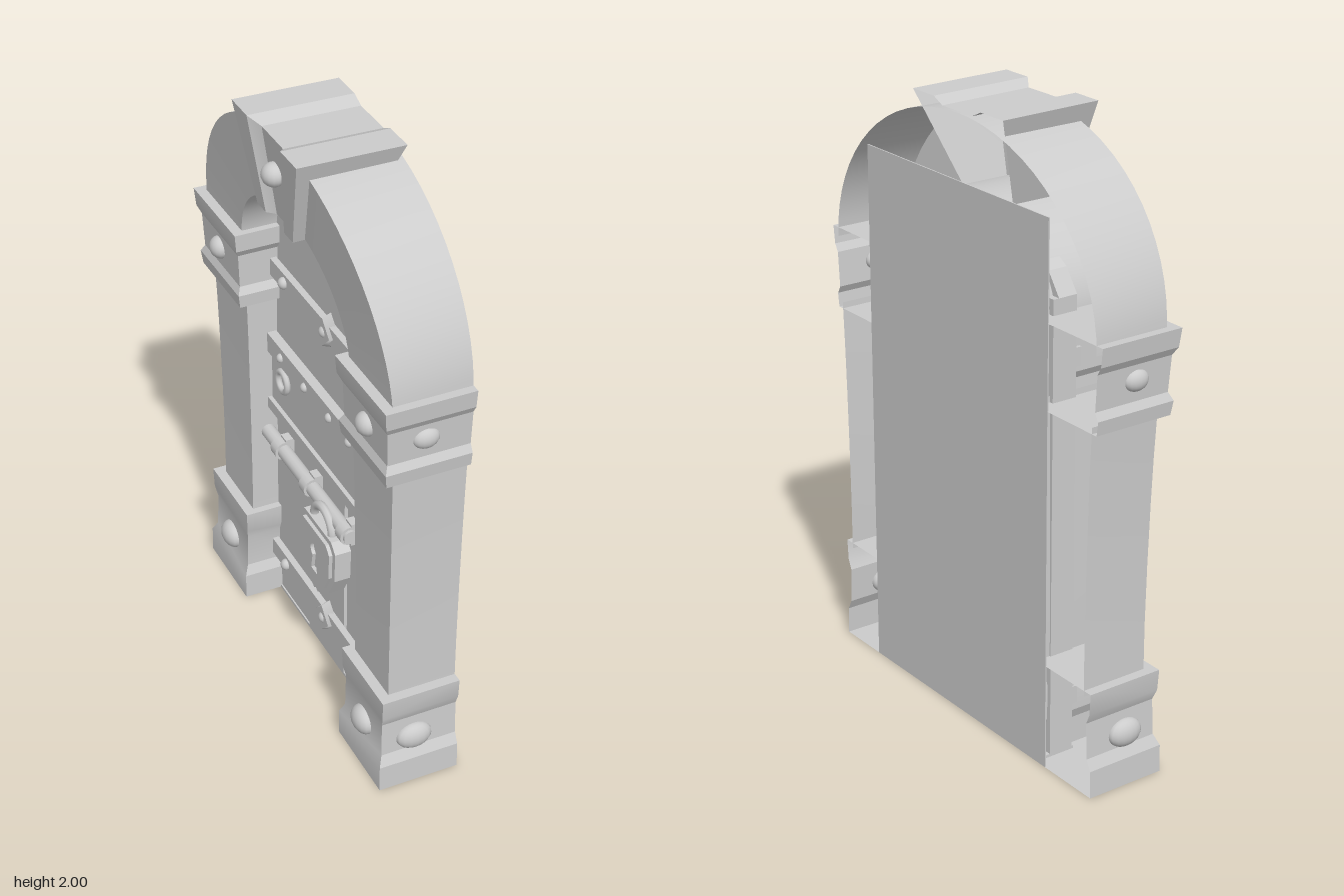
import * as THREE from 'three';
import { toCreasedNormals } from 'three/addons/utils/BufferGeometryUtils.js';

const mat = new THREE.MeshStandardMaterial({ color: 0xcccccc, side: THREE.DoubleSide });

// Built facing +z, turned at the end so the door faces -x
export function createModel() {
  const root = new THREE.Group();
  const door = new THREE.Group();
  door.name = 'archedDoor';
  door.rotation.y = -Math.PI / 2;
  root.add(door);

  const add = (name, geo, x = 0, y = 0, z = 0) => {
    const m = new THREE.Mesh(geo, mat);
    m.name = name;
    m.position.set(x, y, z);
    door.add(m);
    return m;
  };
  const box = (name, x0, x1, y0, y1, z0, z1) =>
    add(name, new THREE.BoxGeometry(x1 - x0, y1 - y0, z1 - z0), (x0 + x1) / 2, (y0 + y1) / 2, (z0 + z1) / 2);
  const dome = (name, x, y, z, rx, ry, rz) => {
    const m = add(name, new THREE.SphereGeometry(1, 16, 12), x, y, z);
    m.scale.set(rx, ry, rz);
    return m;
  };
  const extrude = (pts, depth, hole) => {
    const s = new THREE.Shape(pts.map(p => new THREE.Vector2(...p)));
    if (hole) s.holes.push(hole);
    return new THREE.ExtrudeGeometry(s, { depth, bevelEnabled: false });
  };
  const tube = (name, pts, r) =>
    add(name, new THREE.TubeGeometry(new THREE.CatmullRomCurve3(pts.map(p => new THREE.Vector3(...p))), 20, r, 8));

  // Skin a list of open cross-sections, optionally closing both ends
  function loft(sections, { caps = false, flip = false, crease = 0.5 } = {}) {
    const v = [];
    const tri = (a, b, c) => v.push(...a, ...(flip ? c : b), ...(flip ? b : c));
    for (let i = 0; i < sections.length - 1; i++) {
      const p = sections[i], q = sections[i + 1];
      for (let j = 0; j < p.length - 1; j++) {
        tri(p[j], p[j + 1], q[j + 1]);
        tri(p[j], q[j + 1], q[j]);
      }
    }
    if (caps) {
      const p = sections[0], q = sections[sections.length - 1];
      for (let j = 1; j < p.length - 1; j++) {
        tri(p[0], p[j + 1], p[j]);
        tri(q[0], q[j], q[j + 1]);
      }
    }
    const g = new THREE.BufferGeometry();
    g.setAttribute('position', new THREE.Float32BufferAttribute(v, 3));
    return toCreasedNormals(g, crease);
  }

  // Hollow pillars: rows of [y, inner, outer, front], open at the back
  const BACK = -0.17;
  const base = [[0, 0.37, 0.665, 0.1], [0.09, 0.37, 0.663, 0.1], [0.125, 0.385, 0.645, 0.086],
    [0.245, 0.385, 0.64, 0.084], [0.28, 0.372, 0.655, 0.09], [0.35, 0.37, 0.66, 0.092]];
  const shaft = [[0.33, 0.395, 0.627, 0.058], [0.5, 0.395, 0.627, 0.058], [0.7, 0.393, 0.63, 0.06],
    [0.9, 0.391, 0.635, 0.063], [1.05, 0.389, 0.64, 0.066], [1.2, 0.387, 0.647, 0.07]];
  const capital = [[1.18, 0.368, 0.668, 0.1], [1.225, 0.365, 0.674, 0.106], [1.25, 0.38, 0.66, 0.095],
    [1.365, 0.378, 0.668, 0.1], [1.39, 0.362, 0.683, 0.112], [1.45, 0.36, 0.69, 0.117]];
  for (const s of [1, -1]) {
    const side = s > 0 ? 'Right' : 'Left';
    const pillar = (name, rows, caps, crease) => add(name + side, loft(
      rows.map(([y, i, o, f]) => [[s * i, y, BACK], [s * i, y, f], [s * o, y, f], [s * o, y, BACK]]),
      { caps, flip: s < 0, crease }));
    pillar('pillarBase', base, true, 0.4);
    pillar('pillarShaft', shaft, false, 0.5);
    pillar('pillarCapital', capital, true, 0.4);
    dome('baseFrontRivet' + side, s * 0.515, 0.17, 0.085, 0.055, 0.046, 0.037);
    dome('baseSideRivet' + side, s * 0.643, 0.17, -0.025, 0.033, 0.046, 0.06);
    dome('capitalFrontRivet' + side, s * 0.53, 1.315, 0.097, 0.04, 0.037, 0.034);
    dome('capitalSideRivet' + side, s * 0.66, 1.315, -0.025, 0.027, 0.034, 0.043);
  }

  // Arch band, its front leaning outward toward the top
  const arch = [];
  for (let i = 0; i <= 32; i++) {
    const a = Math.PI * i / 32, c = Math.cos(a), n = Math.sin(a);
    const xi = 0.385 * c, yi = 1.42 + 0.3 * n, xo = 0.663 * c, yo = 1.42 + 0.55 * n;
    const front = y => 0.082 + 0.045 * Math.pow((y - 1.42) / 0.55, 1.2);
    arch.push([[xi, yi, BACK], [xi, yi, front(yi)], [xo, yo, front(yo)], [xo, yo, BACK]]);
  }
  add('arch', loft(arch));

  // Keystone wedge with a sunken middle
  const columns = [[-1, 0], [-0.52, 0], [-0.33, 1], [0.33, 1], [0.52, 0], [1, 0]];
  add('keystone', loft(columns.map(([t, d]) => [
    [t * 0.225, 1.995 - 0.02 * d, BACK], [t * 0.225, 2 - 0.02 * d, 0.173 - 0.028 * d],
    [t * 0.125, 1.7, 0.14 - 0.025 * d], [t * 0.125, 1.7, -0.06]]), { caps: true, crease: 0.3 }));
  dome('keystoneRivet', 0, 1.86, 0.142, 0.04, 0.037, 0.038);

  // Back panel, planks and floor strip
  const F = -0.03;
  box('backPanel', -0.44, 0.48, 0, 1.765, -0.17, -0.166);
  box('doorFloor', -0.4, 0.4, 0, 0.01, -0.168, F);
  add('middlePlank', extrude([[-0.134, 0], [0.13, 0], [0.13, 1.69], [0, 1.71], [-0.134, 1.69]], 0.07), 0, 0, F - 0.07);
  for (const s of [1, -1])
    add('sidePlank', extrude([[s * 0.142, 0], [s * 0.4, 0], [s * 0.4, 1.5], [s * 0.35, 1.57],
      [s * 0.27, 1.62], [s * 0.142, 1.65]], 0.065), 0, 0, F - 0.07);
  box('plankBacking', -0.4, 0.4, 0.01, 1.5, -0.12, -0.09);

  // Hinge straps with curled ends, a diamond boss and rivets
  for (const [y, s] of [[1.3, -1], [0.18, 1]]) {
    box('hingeStrap', -0.39, 0.32, y - 0.03, y + 0.03, F, F + 0.022);
    tube('hingeCurl', [[0.29, y, F + 0.012], [0.345, y + s * 0.01, F + 0.014], [0.365, y + s * 0.055, F + 0.016],
      [0.34, y + s * 0.1, F + 0.016], [0.29, y + s * 0.15, F + 0.014]], 0.019);
    const boss = add('hingeDiamond', new THREE.CylinderGeometry(0.05, 0.062, 0.03, 4), 0.03, y, F + 0.018);
    boss.rotation.x = Math.PI / 2;
    for (const x of [-0.27, 0.03, 0.24]) dome('hingeRivet', x, y, F + 0.025, 0.02, 0.02, 0.018);
  }

  // Hatch plate framed by riveted strips
  box('hatchPlate', -0.38, 0.385, 0.78, 1.03, F, F + 0.018);
  box('hatchTopStrip', -0.385, 0.39, 0.98, 1.05, F, F + 0.032);
  box('hatchBottomStrip', -0.385, 0.39, 0.76, 0.8, F, F + 0.032);
  box('hatchSideStrip', 0.3, 0.36, 0.72, 1.08, F, F + 0.038);
  for (const x of [-0.28, -0.1, 0.08, 0.22]) dome('hatchRivet', x, 1.015, F + 0.032, 0.016, 0.016, 0.014);
  for (const y of [0.75, 0.9, 1.05]) dome('hatchSideRivet', 0.33, y, F + 0.038, 0.016, 0.016, 0.014);
  add('hatchRing', new THREE.TorusGeometry(0.035, 0.011, 8, 20), -0.27, 0.93, F + 0.03);

  // Sliding bolt and its brackets
  const bolt = add('slidingBolt', new THREE.CylinderGeometry(0.024, 0.024, 0.63, 14), -0.065, 0.67, 0.005);
  bolt.rotation.z = Math.PI / 2;
  for (const x of [-0.27, -0.05, 0.22]) {
    const ring = add('boltBracket', new THREE.CylinderGeometry(0.033, 0.033, 0.04, 14), x, 0.67, 0.005);
    ring.rotation.z = Math.PI / 2;
    box('bracketFoot', x - 0.02, x + 0.02, 0.63, 0.71, F, 0);
  }

  // Padlock: shackle, shield body and front plate with keyhole
  add('shackle', new THREE.TorusGeometry(0.065, 0.015, 8, 20, Math.PI), 0.1, 0.625, 0.03);
  const shield = k => [[-0.13, 0.09], [-0.1, 0.12], [0.1, 0.12], [0.13, 0.09], [0.125, -0.02],
    [0.08, -0.1], [0, -0.15], [-0.08, -0.1], [-0.125, -0.02]].map(([x, y]) => [x * k, y * k]);
  const keyhole = new THREE.Path();
  keyhole.absarc(0, 0.02, 0.026, -1.1, Math.PI + 1.1, false);
  keyhole.lineTo(-0.022, -0.06);
  keyhole.lineTo(0.022, -0.06);
  keyhole.closePath();
  add('padlockBody', extrude(shield(1), 0.055), 0.1, 0.51, -0.005);
  add('padlockPlate', extrude(shield(0.85), 0.012, keyhole), 0.1, 0.51, 0.05);

  return root;
}
